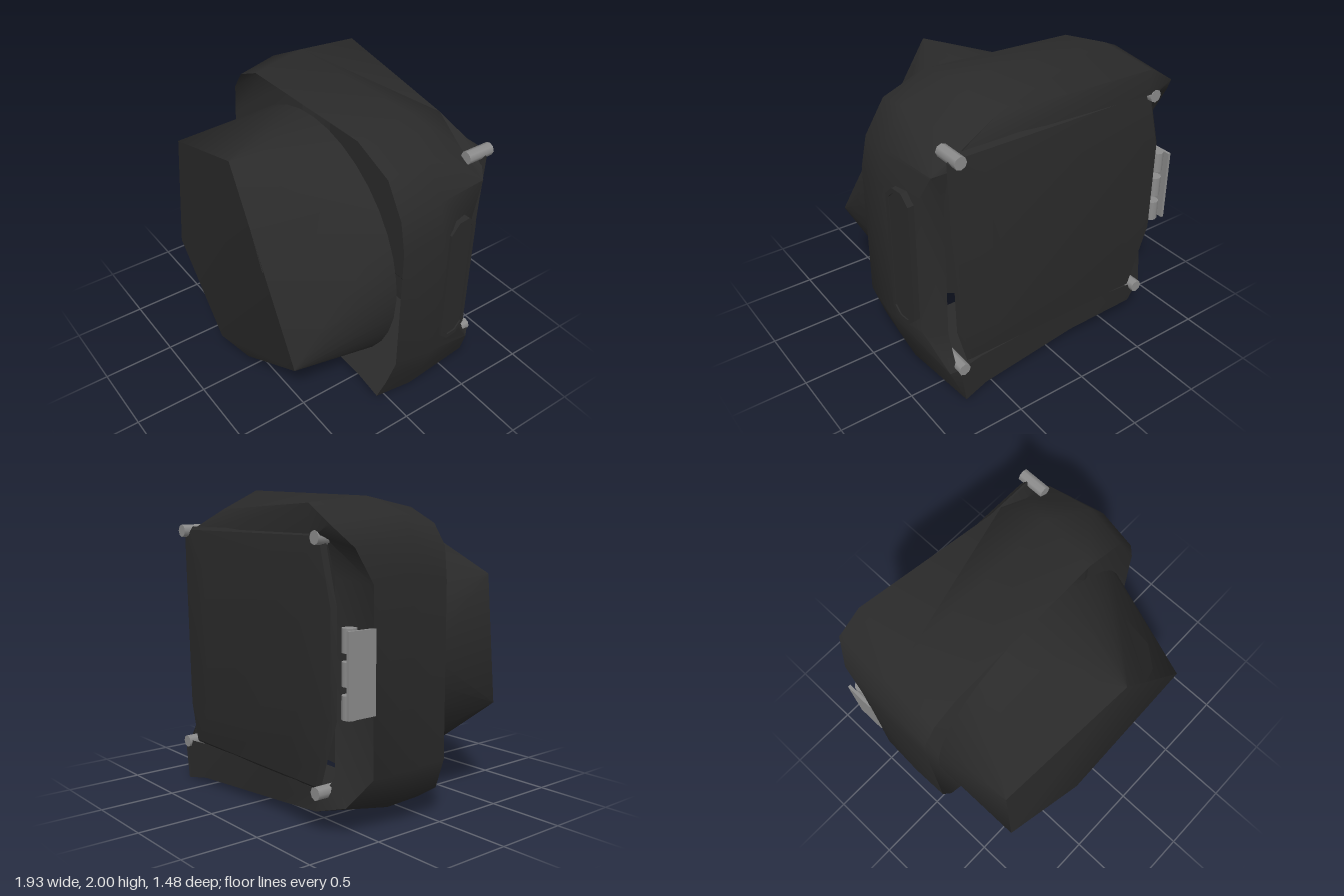
import * as THREE from 'three';
import { toCreasedNormals } from 'three/addons/utils/BufferGeometryUtils.js';
import { ConvexGeometry } from 'three/addons/geometries/ConvexGeometry.js';

const dark = new THREE.MeshStandardMaterial({ color: 0x2a2a2a, side: THREE.DoubleSide });
const metal = new THREE.MeshStandardMaterial({ color: 0x8c8c8c });

// Skin a list of closed loops; optionally cap the first and last one
function loft(loops, capped) {
  const n = loops[0].length;
  const pos = loops.flat(2);
  const idx = [];
  for (let k = 0; k < loops.length - 1; k++) {
    for (let i = 0; i < n; i++) {
      const a = k * n + i, b = k * n + (i + 1) % n;
      idx.push(a, a + n, b, b, a + n, b + n);
    }
  }
  if (capped) {
    const last = (loops.length - 1) * n;
    for (let i = 1; i < n - 1; i++) {
      idx.push(0, i, i + 1, last, last + i + 1, last + i);
    }
  }
  const g = new THREE.BufferGeometry();
  g.setAttribute('position', new THREE.Float32BufferAttribute(pos, 3));
  g.setIndex(idx);
  return g;
}

export function createModel() {
  const model = new THREE.Group();
  const add = (name, geometry, material, x = 0, y = 0, z = 0) => {
    const mesh = new THREE.Mesh(geometry, material);
    mesh.name = name;
    mesh.position.set(x, y, z);
    model.add(mesh);
    return mesh;
  };

  // Housing: thin rounded-square shell, [x, y, z of its rear edge, inward pull of its rear edge]
  const outline = [
    [0.965, 0.47, -0.5], [0.965, 1.43, -0.5], [0.92, 1.65, -0.6], [0.78, 1.88, -0.6, 0.88],
    [0.48, 2.0, -0.61, 0.93], [-0.65, 1.96, -0.73, 1.02], [-0.85, 1.86, -0.73], [-0.94, 1.72, -0.62],
    [-0.96, 1.5, -0.5], [-0.965, 0.35, -0.5], [-0.9, 0.15, -0.62, 0.96], [-0.75, 0.05, -0.7, 0.91],
    [-0.2, 0.04, -0.65, 0.97], [0.6, 0.03, -0.7], [0.79, 0.0, -0.73], [0.88, 0.22, -0.68],
  ];
  const ring = (right, left, top, bottom, zAt) => outline.map(([x, y, zRear, pull = 1]) => {
    const s = zAt ? 1 : pull;
    return [
      x * s * (x > 0 ? right : left),
      1 + (y - 1) * s * (y > 1 ? top : bottom),
      zAt ? zAt(y) : zRear,
    ];
  });
  // Rear lip turns inward to a rectangular opening
  const lip = outline.map(([x, y, z, pull = 1]) => [
    THREE.MathUtils.clamp(x * pull, -0.73, 0.77),
    THREE.MathUtils.clamp(1 + (y - 1) * pull, 0.27, 1.75),
    Math.min(z, Math.max(z - 0.1, -0.66)),
  ]);
  const shell = loft([
    ring(0.965, 0.995, 0.93, 0.97, () => 0.07),
    ring(1, 1, 1, 0.98, (y) => (y > 1.9 ? -0.3 : -0.2)),
    ring(0.925, 0.985, 0.94, 1),
    lip,
  ]);
  add('housing', toCreasedNormals(shell, 0.9), dark);

  // Front drum: tapered cylinder cut by flat slices, leaving a five-cornered front
  const points = [
    [0.08, 1.83, 0.71], [-0.82, 1.47, 0.6], [-0.85, 0.62, 0.65],
    [-0.22, 0.18, 0.71], [0.77, 0.7, 0.74], [0, 0.11, 0.63],
  ].map((p) => new THREE.Vector3(...p));
  for (let i = 0; i < 36; i++) {
    const a = (i / 36) * Math.PI * 2;
    points.push(new THREE.Vector3(-0.01 + 0.88 * Math.cos(a), 0.98 + 0.88 * Math.sin(a), 0.05));
  }
  add('frontDrum', toCreasedNormals(new ConvexGeometry(points), 0.8), dark);

  // Four-cornered facet standing just off the slice
  const facet = new THREE.BufferGeometry();
  facet.setAttribute('position', new THREE.Float32BufferAttribute(
    [0.3, 1.47, 0.72, 0.43, 1.24, 0.73, 0.61, 1.2, 0.52, 0.5, 1.57, 0.36], 3));
  facet.setIndex([0, 1, 2, 0, 2, 3]);
  facet.computeVertexNormals();
  add('drumFacet', facet, dark);

  // Rear door: shallow raised lid, bowed out on the hinge side
  const door = [
    [0.68, 0.26], [0.75, 0.52], [0.79, 1.72], [0.7, 1.76], [-0.72, 1.76],
    [-0.83, 1.35], [-0.83, 0.7], [-0.68, 0.26],
  ];
  const doorRing = (s, z) => door.map(([x, y]) => [x * s, 1 + (y - 1) * s, z]);
  const lid = loft([doorRing(0.97, -0.655), doorRing(1, -0.67), doorRing(0.97, -0.695), doorRing(0.68, -0.73)], true);
  add('rearDoor', toCreasedNormals(lid, 0.5), dark);

  // Hinge: plate and three knuckles
  add('hingePlate', new THREE.BoxGeometry(0.02, 0.5, 0.2), metal, -0.947, 0.98, -0.59);
  for (const y of [0.79, 0.98, 1.17]) {
    add('hingeKnuckle', new THREE.CylinderGeometry(0.045, 0.045, 0.14, 10), metal, -0.89, y, -0.63);
  }

  // Corner screws
  for (const x of [-0.71, 0.74]) {
    for (const y of [0.26, 1.73]) {
      const screw = add('cornerScrew', new THREE.CylinderGeometry(0.042, 0.042, 0.19, 8), metal, x, y, -0.64);
      screw.rotation.x = Math.PI / 2;
    }
  }

  // Side plate: long octagon with a raised border
  const octagon = (Type, w, h, c) => {
    const pts = [[w - c, -h], [w, -h + c], [w, h - c], [w - c, h], [-w + c, h], [-w, h - c], [-w, -h + c], [-w + c, -h]];
    return new Type(pts.map(([x, y]) => new THREE.Vector2(x, y)));
  };
  const border = octagon(THREE.Shape, 0.108, 0.475, 0.065);
  border.holes.push(octagon(THREE.Path, 0.085, 0.445, 0.05));
  const extrude = (shape, depth) => new THREE.ExtrudeGeometry(shape, { depth, bevelEnabled: false });
  const plate = extrude(octagon(THREE.Shape, 0.1, 0.46, 0.06), 0.04);
  for (const [name, geometry] of [['sidePlate', plate], ['sidePlateBorder', extrude(border, 0.05)]]) {
    add(name, geometry, dark, 0.902, 0.985, -0.375).rotation.y = Math.PI / 2 + 0.1;
  }

  return model;
}
